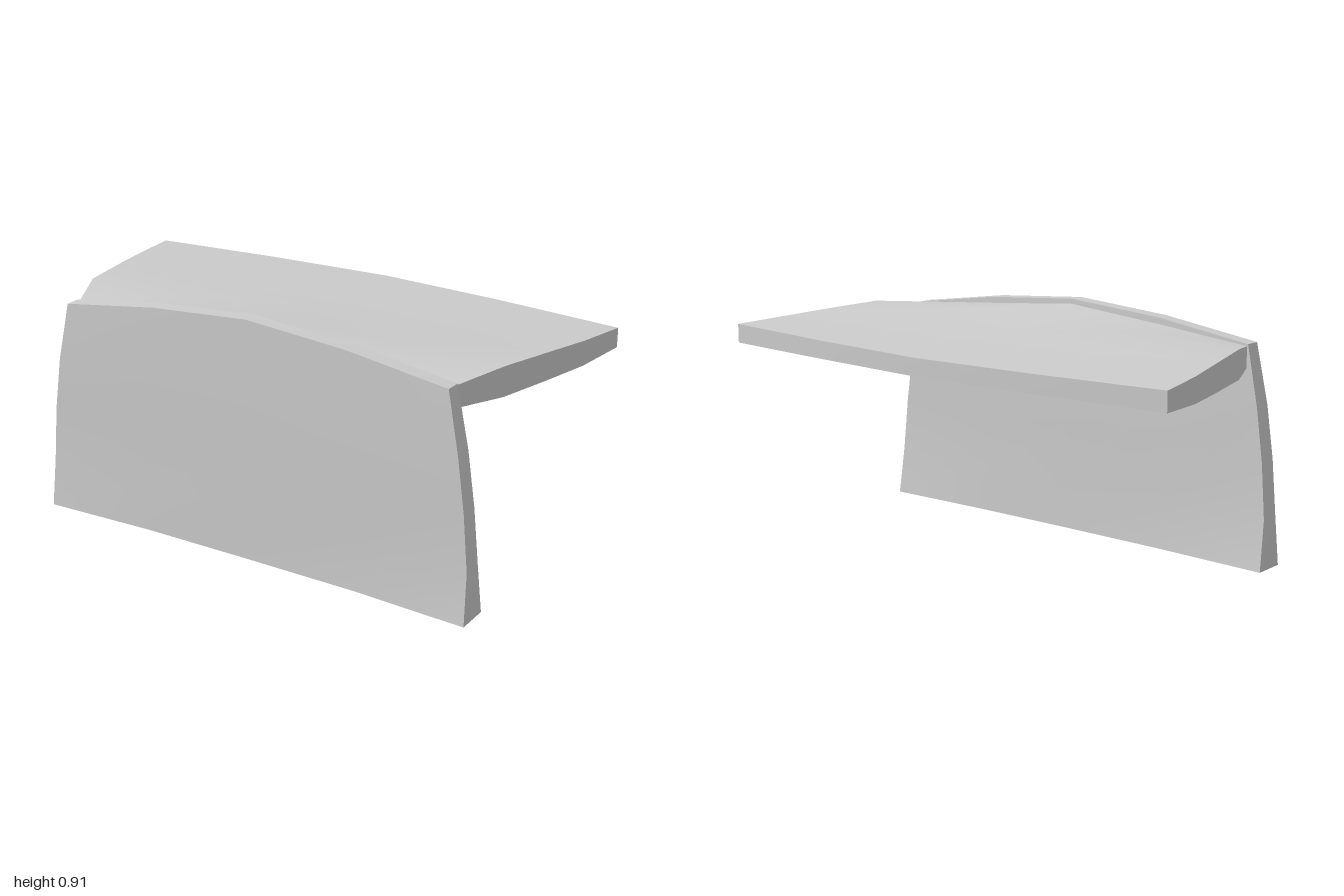
import * as THREE from 'three';
import { toCreasedNormals } from 'three/addons/utils/BufferGeometryUtils.js';

// Segmented box whose vertices are moved by a rule
// (u, v, w run from 0 to 1 along x, y, z)
function shapedBox(name, segments, rule) {
  const box = new THREE.BoxGeometry(1, 1, 1, ...segments);
  const p = box.attributes.position;
  for (let i = 0; i < p.count; i++) {
    p.setXYZ(i, ...rule(p.getX(i) + 0.5, p.getY(i) + 0.5, p.getZ(i) + 0.5));
  }
  const material = new THREE.MeshStandardMaterial({ color: 0xcccccc });
  const mesh = new THREE.Mesh(toCreasedNormals(box, 0.5), material);
  mesh.name = name;
  return mesh;
}

// Value for centre, halfway or side column, with s = -1..1 across the width
const across = (s, [centre, half, side]) => [centre, half, side][Math.round(Math.abs(s) * 2)];

// Upright panel rows, bottom to top: heights and depths as [centre, half, side]
const panelRows = [
  { width: 0.89, y: [0, 0, 0], front: [0.47, 0.472, 0.493], back: [0.385, 0.382, 0.367] },
  { width: 0.884, y: [0.19, 0.19, 0.19], front: [0.468, 0.468, 0.472], back: [0.39, 0.39, 0.393] },
  { width: 0.865, y: [0.4, 0.4, 0.4], front: [0.468, 0.468, 0.471], back: [0.39, 0.39, 0.397] },
  { width: 0.836, y: [0.61, 0.61, 0.6], front: [0.467, 0.467, 0.469], back: [0.39, 0.39, 0.398] },
  { width: 0.79, y: [0.91, 0.88, 0.823], front: [0.46, 0.46, 0.46], back: [0.4, 0.4, 0.4] },
];

// Shelf rows, back to front
const shelfRows = [
  { width: 1, z: [-0.495, -0.463, -0.41], top: [0.808, 0.809, 0.81], bottom: [0.742, 0.741, 0.737] },
  { width: 0.965, z: [-0.2, -0.2, -0.2], top: [0.82, 0.82, 0.819], bottom: [0.727, 0.727, 0.727] },
  { width: 0.92, z: [0, 0, 0], top: [0.832, 0.832, 0.83], bottom: [0.728, 0.728, 0.728] },
  { width: 0.868, z: [0.22, 0.22, 0.22], top: [0.856, 0.85, 0.84], bottom: [0.731, 0.731, 0.731] },
  { width: 0.785, z: [0.402, 0.402, 0.402], top: [0.891, 0.856, 0.815], bottom: [0.735, 0.735, 0.735] },
];

export function createModel() {
  const model = new THREE.Group();
  model.name = 'panelWithShelf';

  // Upright front panel with flared foot and arched top
  model.add(shapedBox('frontPanel', [4, 4, 1], (u, v, w) => {
    const row = panelRows[Math.round(v * 4)];
    const s = u * 2 - 1;
    return [s * row.width, across(s, row.y), across(s, w > 0.5 ? row.front : row.back)];
  }));

  // Shelf widening toward its bowed rear edge
  model.add(shapedBox('rearShelf', [4, 1, 4], (u, v, w) => {
    const row = shelfRows[Math.round(w * 4)];
    const s = u * 2 - 1;
    return [s * row.width, across(s, v > 0.5 ? row.top : row.bottom), across(s, row.z)];
  }));

  return model;
}
